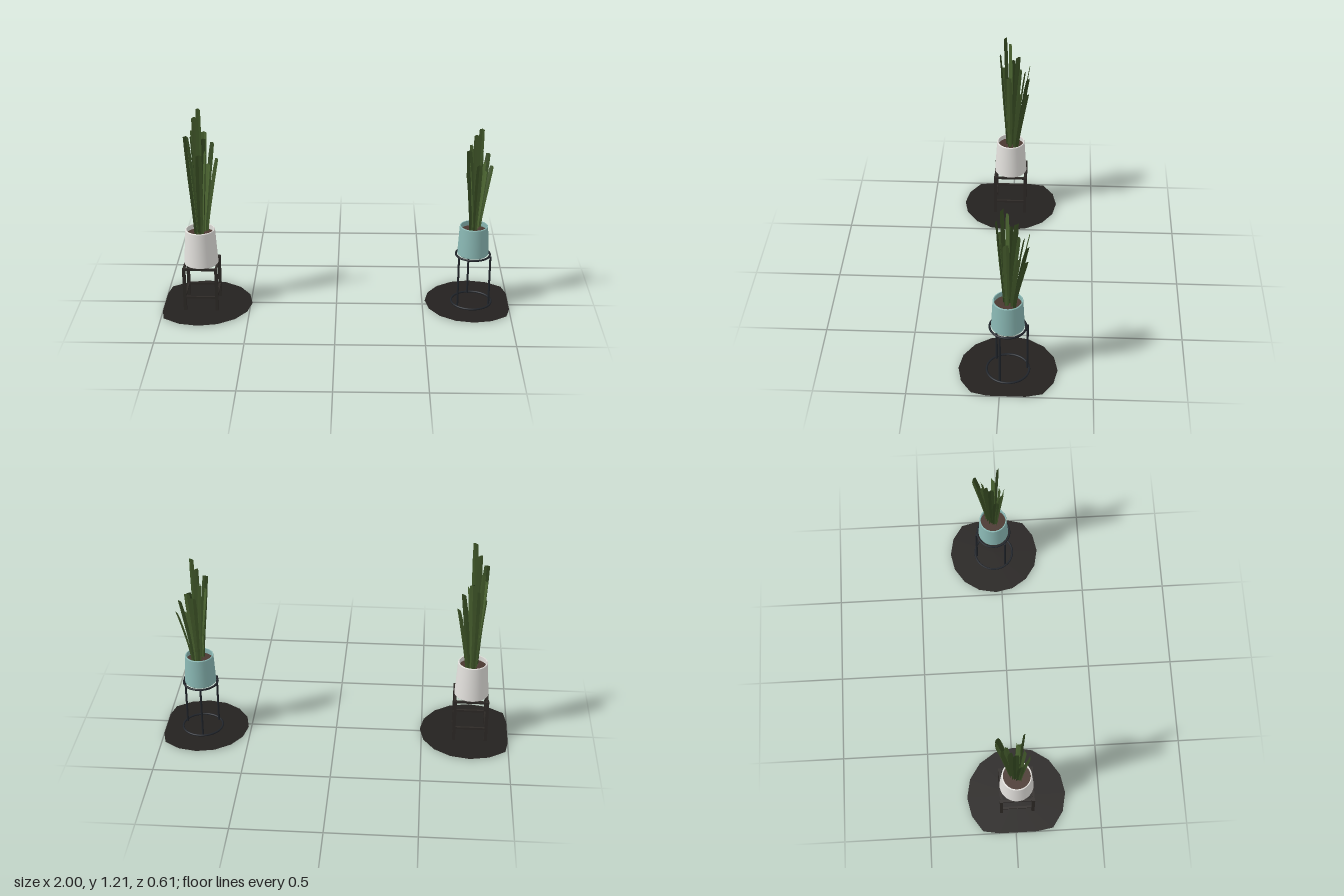
import * as THREE from 'three';

const mat = (color, extra = {}) => new THREE.MeshStandardMaterial({ color, ...extra });
const thin = { side: THREE.DoubleSide };
const darkWood = mat(0x2e2a27);
const darkMetal = mat(0x20242a);
const leafMats = [0x3c5226, 0x4a6330, 0x354a22].map((c) => mat(c, { ...thin, flatShading: true }));

function add(parent, name, geometry, material, x = 0, y = 0, z = 0) {
  const mesh = new THREE.Mesh(geometry, material);
  mesh.name = name;
  mesh.position.set(x, y, z);
  parent.add(mesh);
  return mesh;
}

// Flat 16-sided floor mat, cut straight at its outer side
function floorMat(parent, r, limit) {
  const geo = new THREE.CircleGeometry(r, 16).rotateX(-Math.PI / 2);
  const p = geo.attributes.position;
  for (let i = 0; i < p.count; i++) {
    p.setX(i, THREE.MathUtils.clamp(p.getX(i), -limit, limit));
  }
  add(parent, 'floorMat', geo, mat(0x24211f, thin), 0, 0.004, 0);
}

// Hollow tapered pot, wider at the foot, with soil inside
function pot(parent, y0, y1, rBottom, rTop, color) {
  const wall = 0.007;
  const outline = [
    [0, y0], [rBottom - 0.006, y0], [rBottom, y0 + 0.006], [rTop, y1 - 0.003],
    [rTop - 0.002, y1], [rTop - wall, y1], [rTop - wall + 0.002, y1 - 0.045],
  ].map(([x, y]) => new THREE.Vector2(x, y));
  // Short repeated points near corners keep the edges crisp
  const crisp = outline.flatMap((v, i) => {
    const next = outline[i + 1];
    return next ? [v, v.clone().lerp(next, 0.03), v.clone().lerp(next, 0.97)] : [v];
  });
  add(parent, 'pot', new THREE.LatheGeometry(crisp, 40), mat(color, thin));
  const soil = new THREE.CircleGeometry(rTop - wall + 0.002, 32).rotateX(-Math.PI / 2);
  add(parent, 'soil', soil, mat(0x4a3830), 0, y1 - 0.03, 0);
}

// One blunt upright blade: cross-sections of three points with a shallow fold
function blade(foot, tip, widthAngle, width) {
  const rows = 7;
  const pos = [];
  const idx = [];
  const side = new THREE.Vector3(Math.cos(widthAngle), 0, Math.sin(widthAngle));
  const out = new THREE.Vector3(-side.z, 0, side.x);
  for (let i = 0; i <= rows; i++) {
    const t = i / rows;
    const c = foot.clone().lerp(tip, t);
    const bend = t ** 1.3;
    c.x = THREE.MathUtils.lerp(foot.x, tip.x, bend);
    c.z = THREE.MathUtils.lerp(foot.z, tip.z, bend);
    const half = width * (0.3 + 0.2 * Math.min(1, t * 1.8)) * (i === rows ? 0.85 : 1);
    for (const s of [-1, 0, 1]) {
      const q = c.clone().addScaledVector(side, s * half);
      q.addScaledVector(out, s === 0 ? -0.12 * width : 0);
      if (i === rows && s !== 0) q.y -= 0.006;
      pos.push(q.x, q.y, q.z);
    }
    if (i < rows) {
      for (const k of [0, 1]) {
        const a = i * 3 + k;
        idx.push(a, a + 1, a + 3, a + 1, a + 4, a + 3);
      }
    }
  }
  const geo = new THREE.BufferGeometry();
  geo.setAttribute('position', new THREE.Float32BufferAttribute(pos, 3));
  geo.setIndex(idx);
  geo.computeVertexNormals();
  return geo;
}

// Leaf tips: x, z, height above the plant foot, direction of the blade's width
const LEAVES = [
  [0.02, 0.032, 0.76, 0.55], [-0.008, 0.003, 0.7, -0.6], [-0.05, 0.066, 0.61, 0.2],
  [-0.03, -0.043, 0.605, 0.9], [0.03, -0.112, 0.575, 0.1], [0.075, -0.105, 0.515, 0.7],
  [0.098, -0.1, 0.42, 0.9], [-0.05, 0.05, 0.52, 1.0], [-0.058, 0.02, 0.42, 1.5],
  [0.015, 0.045, 0.49, -0.2], [0.045, 0.01, 0.5, 1.2], [0.03, -0.06, 0.55, -0.5],
  [0.0, -0.085, 0.52, 0.3], [0.055, -0.06, 0.4, 0.8], [-0.035, -0.01, 0.58, 1.3],
];

function plant(parent, y, scaleXZ, scaleY) {
  const g = new THREE.Group();
  g.name = 'plant';
  g.position.y = y;
  g.scale.set(scaleXZ, scaleY, scaleXZ);
  LEAVES.forEach(([x, z, h, angle], i) => {
    const foot = new THREE.Vector3(x * 0.36, -0.03, z * 0.36);
    const tip = new THREE.Vector3(x, h, z);
    add(g, 'leaf', blade(foot, tip, angle, 0.037), leafMats[i % leafMats.length]);
  });
  parent.add(g);
}

// Square stand: four legs, top frame and lower rails
function squareStand(parent) {
  const g = new THREE.Group();
  g.name = 'squareStand';
  const d = 0.092;
  const w = 0.018;
  for (const s of [-1, 1]) {
    for (const t of [-1, 1]) {
      add(g, 'leg', new THREE.BoxGeometry(w, 0.266, w), darkWood, s * d, 0.133, t * d);
    }
    for (const [name, y, thick] of [['topRail', 0.26, 0.013], ['lowerRail', 0.084, 0.012]]) {
      add(g, name, new THREE.BoxGeometry(2 * d - w, thick, thick), darkWood, 0, y, s * d);
      add(g, name, new THREE.BoxGeometry(thick, thick, 2 * d - w), darkWood, s * d, y, 0);
    }
  }
  parent.add(g);
}

// Round stand: top ring, wider foot ring and three legs
function roundStand(parent) {
  const g = new THREE.Group();
  g.name = 'roundStand';
  const ring = (r) => new THREE.TorusGeometry(r, 0.006, 8, 40).rotateX(Math.PI / 2);
  add(g, 'topRing', ring(0.098), darkMetal, 0, 0.309, 0);
  add(g, 'footRing', ring(0.116), darkMetal, 0, 0.008, 0);
  for (let i = 0; i < 3; i++) {
    const a = THREE.MathUtils.degToRad(22 + i * 120);
    const leg = new THREE.CylinderGeometry(0.006, 0.006, 0.304, 10);
    add(g, 'leg', leg, darkMetal, 0.106 * Math.cos(a), 0.157, 0.106 * Math.sin(a));
  }
  parent.add(g);
}

export function createModel() {
  const model = new THREE.Group();
  model.name = 'pottedPlants';

  // Taller plant in the white pot
  const white = new THREE.Group();
  white.name = 'whitePotPlant';
  white.position.set(-0.779, 0, 0.013);
  floorMat(white, 0.289, 0.221);
  squareStand(white);
  pot(white, 0.262, 0.475, 0.098, 0.085, 0xe4e2de);
  plant(white, 0.45, 1, 1);

  // Shorter plant in the teal pot
  const teal = new THREE.Group();
  teal.name = 'tealPotPlant';
  teal.position.set(0.786, 0, -0.037);
  floorMat(teal, 0.27, 0.214);
  roundStand(teal);
  pot(teal, 0.311, 0.487, 0.09, 0.081, 0x8ab8b4);
  plant(teal, 0.487, 0.97, 0.787);

  // Each mat keeps its full round edge on the inner side
  for (const [g, inner, r] of [[white, 1, 0.289], [teal, -1, 0.27]]) {
    const p = g.getObjectByName('floorMat').geometry.attributes.position;
    for (let i = 1; i < p.count; i++) {
      const x = r * Math.cos(((i - 1) / 16) * Math.PI * 2);
      if (x * inner > 0) p.setX(i, x);
    }
  }

  model.add(white, teal);
  return model;
}
